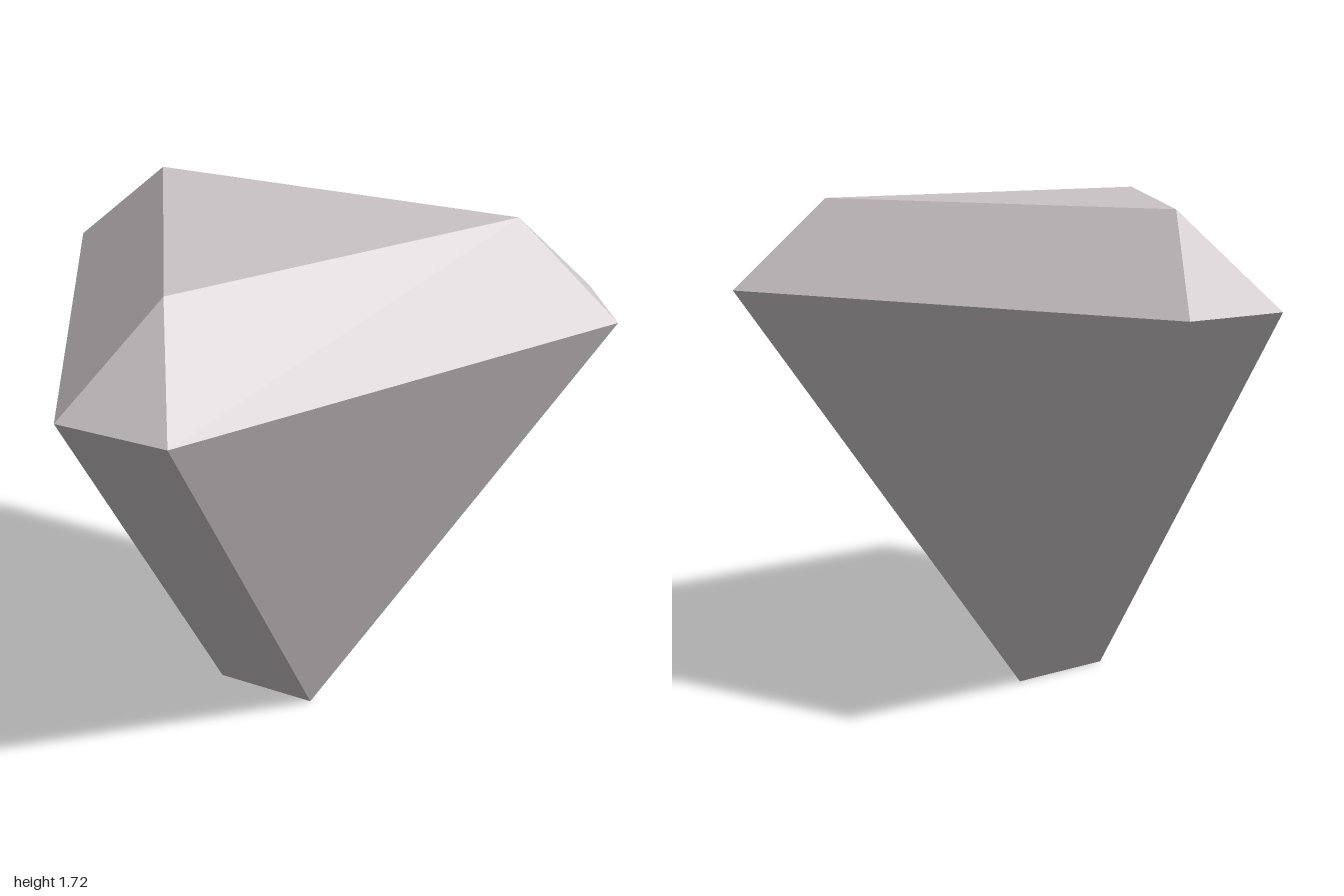
import * as THREE from 'three';
import { ConvexGeometry } from 'three/addons/geometries/ConvexGeometry.js';

// Faceted stone with threefold symmetry about a vertical axis
const AXIS_Z = 0.1865;   // the symmetry axis sits a little forward of centre
const HALF_LONG = 0.823; // half of a long girdle edge
const HALF_SHORT = 0.177; // half of a short girdle edge
const GIRDLE_Y = 1.425;
const TOP_Y = 1.72;

export function createModel() {
  const group = new THREE.Group();
  group.name = 'gem';

  const stone = new THREE.MeshStandardMaterial({ color: 0xcbc4c7 });
  stone.name = 'pale grey stone';

  // One third of the corners, relative to the axis
  const third = [
    new THREE.Vector3(0, TOP_Y, -0.7506),                // flat top triangle
    new THREE.Vector3(-HALF_LONG, GIRDLE_Y, 0.6795),     // long girdle edge
    new THREE.Vector3(HALF_LONG, GIRDLE_Y, 0.6795),
    new THREE.Vector3(0, 0, 2 * HALF_SHORT / Math.sqrt(3)), // small base triangle
  ];

  // Turn them three times around the axis and wrap flat facets over the corners
  const up = new THREE.Vector3(0, 1, 0);
  const corners = [];
  for (let i = 0; i < 3; i++) {
    for (const p of third) {
      const q = p.clone().applyAxisAngle(up, i * Math.PI * 2 / 3);
      q.z += AXIS_Z;
      corners.push(q);
    }
  }

  const body = new THREE.Mesh(new ConvexGeometry(corners), stone);
  body.name = 'facetedBody';
  group.add(body);
  return group;
}
